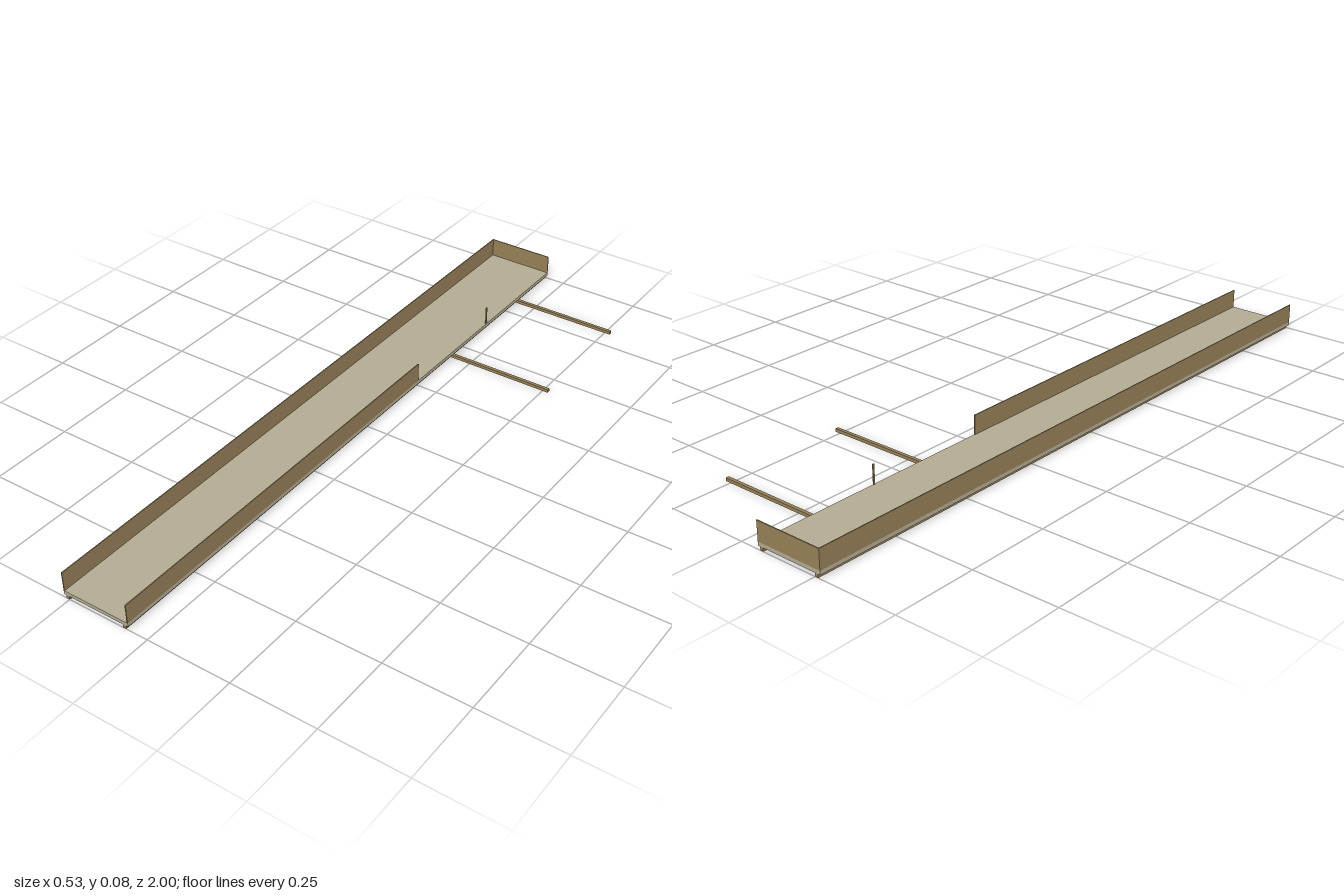
import * as THREE from 'three';

export function createModel() {
  const model = new THREE.Group();
  const wood = new THREE.MeshStandardMaterial({ color: 0x967f57 });
  wood.name = 'brown wood';
  const board = new THREE.MeshStandardMaterial({ color: 0xb3ab93 });
  board.name = 'pale board';

  // Box given by its lower and upper limits on each axis
  function addBox(name, material, [x0, x1], [y0, y1], [z0, z1]) {
    const mesh = new THREE.Mesh(new THREE.BoxGeometry(x1 - x0, y1 - y0, z1 - z0), material);
    mesh.position.set((x0 + x1) / 2, (y0 + y1) / 2, (z0 + z1) / 2);
    mesh.name = name;
    model.add(mesh);
  }

  const left = -0.059, right = -0.267, t = 0.003;
  const wallY = [0.021, 0.078];

  // Long floor
  addBox('deck', board, [right, left], [0.01, 0.021], [-1, 1]);

  // Thin walls: one full side, the back end, and a partial side leaving an opening
  addBox('fullSideWall', wood, [right, right + t], wallY, [-1, 1]);
  addBox('backWall', wood, [right + t, left], wallY, [-1, -1 + t]);
  addBox('partialSideWall', wood, [left - t, left], wallY, [-0.247, 1]);
  addBox('post', wood, [left - t, left], wallY, [-0.625, -0.62]);

  // Runners under the floor
  for (const x of [-0.26, -0.076]) addBox('runner', wood, [x, x + 0.01], [0, 0.01], [-1, 1]);

  // Cross beams reaching out past the opening
  for (const z of [-0.816, -0.436]) addBox('crossBeam', wood, [-0.25, 0.267], [0, 0.0095], [z - 0.005, z + 0.005]);

  return model;
}
